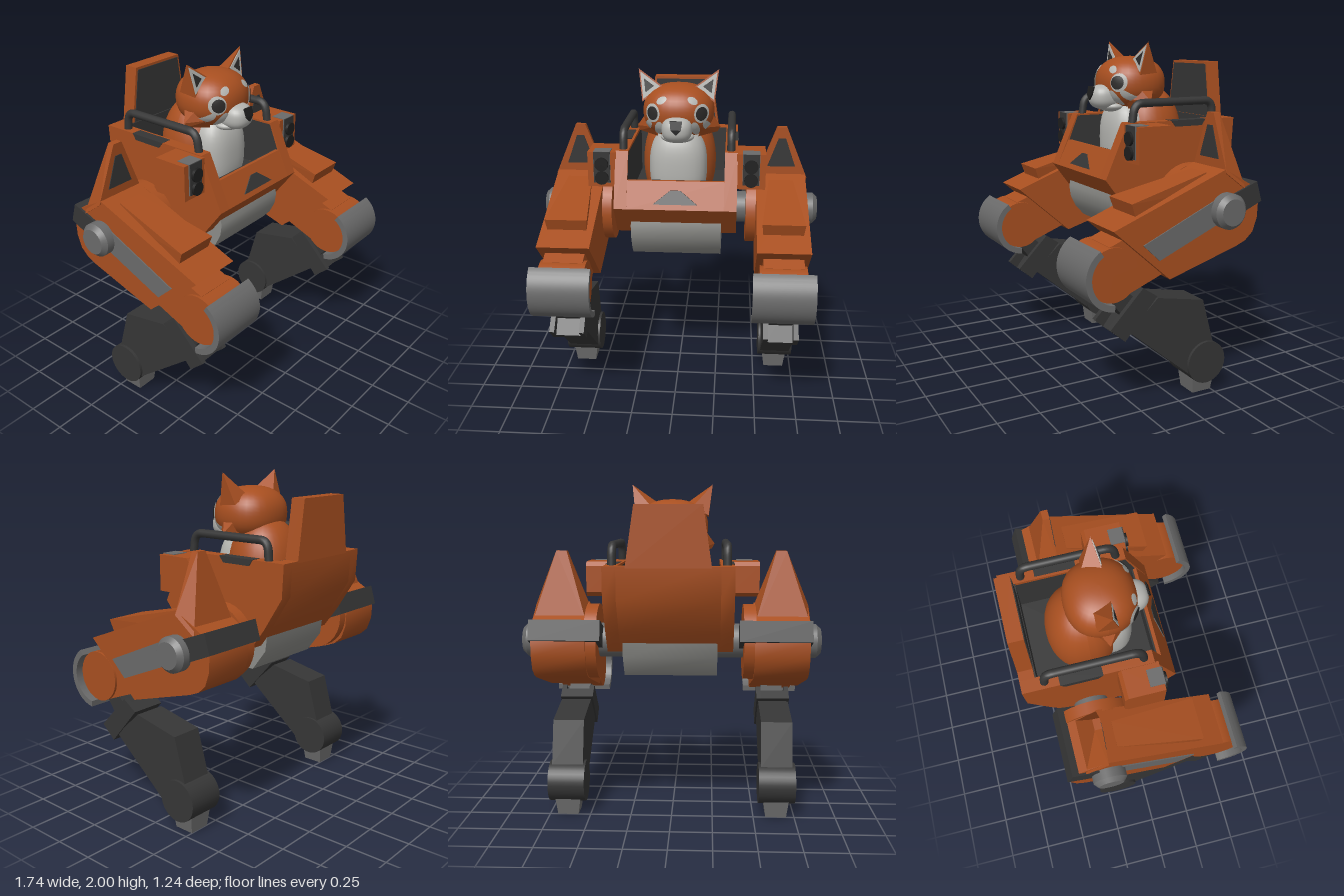
import * as THREE from 'three';
import { toCreasedNormals } from 'three/addons/utils/BufferGeometryUtils.js';
import { ConvexGeometry } from 'three/addons/geometries/ConvexGeometry.js';

const mat = (name, color, side = THREE.FrontSide) => {
  const m = new THREE.MeshStandardMaterial({ color, side });
  m.name = name;
  return m;
};

export function createModel() {
  const model = new THREE.Group();
  const orange = mat('orange', 0xa84f20), dark = mat('charcoal', 0x363636), black = mat('black', 0x1e1e1e);
  const steel = mat('steel', 0x6a6a6a), pale = mat('pale grey', 0x8c8c88);
  const white = mat('white fur', 0xb4b4b0, THREE.DoubleSide), eyeDark = mat('eye', 0x2c2a29, THREE.DoubleSide);

  const add = (parent, name, geo, material) => {
    const mesh = new THREE.Mesh(geo, material);
    mesh.name = name;
    parent.add(mesh);
    return mesh;
  };
  // side profile [z, y] extruded across x, on side s
  const profile = (parent, name, pts, x0, x1, material, s = 1) => {
    const shape = pts instanceof THREE.Shape ? pts : new THREE.Shape(pts.map(p => new THREE.Vector2(...p)));
    let geo = new THREE.ExtrudeGeometry(shape, { depth: x1 - x0, bevelEnabled: false, curveSegments: 20 });
    geo.rotateY(-Math.PI / 2);
    geo.translate(s > 0 ? x1 : -x0, 0, 0);
    return add(parent, name, toCreasedNormals(geo, 0.55), material);
  };
  // convex solid from corner points, on side s
  const hull = (parent, name, pts, material, s = 1) =>
    add(parent, name, new ConvexGeometry(pts.map(p => new THREE.Vector3(s * p[0], p[1], p[2]))), material);
  // thin convex plate
  const plate = (parent, name, pts, material, s = 1, t = 0.005) =>
    hull(parent, name, [...pts, ...pts.map(p => [p[0], p[1], p[2] + t])], material, s);
  // cylinder along x
  const drum = (parent, name, r, x0, x1, y, z, material, s = 1, r2 = r) => {
    const geo = new THREE.CylinderGeometry(s > 0 ? r : r2, s > 0 ? r2 : r, x1 - x0, 32);
    geo.rotateZ(Math.PI / 2);
    geo.translate(s * (x0 + x1) / 2, y, z);
    return add(parent, name, geo, material);
  };
  const box = (parent, name, x0, x1, y0, y1, z0, z1, material) => {
    const geo = new THREE.BoxGeometry(Math.abs(x1 - x0), y1 - y0, z1 - z0);
    geo.translate((x0 + x1) / 2, (y0 + y1) / 2, (z0 + z1) / 2);
    return add(parent, name, geo, material);
  };

  // cockpit tub
  const tub = new THREE.Group();
  tub.name = 'cockpit';
  model.add(tub);
  const under = [[0.26, 1.235], [0.12, 1.05], [-0.4, 1.05], [-0.49, 1.17], [-0.61, 1.36], [-0.62, 1.55]];
  for (const s of [1, -1]) {
    profile(tub, 'sideWall', [[0.12, 1.55], ...under], 0.285, 0.36, orange, s);
    plate(tub, 'innerSidePanel', [[0.279, 1.26, -0.53], [0.279, 1.54, -0.53], [0.284, 1.26, 0.15],
      [0.284, 1.39, 0.175], [0.284, 1.54, 0.115]], dark, s, 0.002);
  }
  profile(tub, 'hull', [[0.185, 1.39], ...under, [-0.535, 1.55], [-0.535, 1.25], [0.165, 1.25], [0.165, 1.39]],
    -0.285, 0.285, orange);
  box(tub, 'floor', -0.285, 0.285, 1.25, 1.258, -0.53, 0.16, dark);
  box(tub, 'innerFront', -0.285, 0.285, 1.25, 1.388, 0.155, 0.164, dark);
  box(tub, 'innerBack', -0.285, 0.285, 1.25, 1.548, -0.534, -0.526, dark);
  plate(tub, 'frontMark', [[-0.13, 1.265, 0.246], [0.13, 1.265, 0.246], [0.03, 1.34, 0.21], [-0.03, 1.34, 0.21]], dark);

  // seat back
  const back = h => [[-0.235, 1.54, h], [0.235, 1.54, h], [0.185, 1.88, h], [-0.185, 1.88, h]];
  hull(tub, 'seatBack', [...back(-0.535), ...back(-0.62)], orange);
  plate(tub, 'seatPad', [[-0.22, 1.55, -0.535], [0.22, 1.55, -0.535], [0.172, 1.865, -0.535], [-0.172, 1.865, -0.535]], dark);

  // rounded belly and axle
  profile(model, 'belly', [[0.17, 1.17], [0.19, 1.1], [0.18, 1.03], [0.145, 0.96], [0.09, 0.9], [-0.34, 0.9],
    [-0.43, 1.02], [-0.45, 1.17]], -0.27, 0.27, pale);
  drum(model, 'axle', 0.1, -0.5, 0.5, 1.095, -0.255, steel);

  for (const s of [1, -1]) {
    // hand rail and its base
    const rail = new THREE.CurvePath();
    const v = (y, z) => new THREE.Vector3(s * 0.32, y, z);
    rail.add(new THREE.LineCurve3(v(1.53, 0.07), v(1.6, 0.06)));
    rail.add(new THREE.QuadraticBezierCurve3(v(1.6, 0.06), v(1.657, 0.05), v(1.657, 0)));
    rail.add(new THREE.LineCurve3(v(1.657, 0), v(1.657, -0.43)));
    rail.add(new THREE.QuadraticBezierCurve3(v(1.657, -0.43), v(1.657, -0.48), v(1.6, -0.485)));
    rail.add(new THREE.LineCurve3(v(1.6, -0.485), v(1.53, -0.49)));
    add(tub, 'handRail', new THREE.TubeGeometry(rail, 50, 0.024, 12), dark);
    profile(tub, 'railPlate', [[-0.17, 1.552], [-0.41, 1.552], [-0.385, 1.515], [-0.2, 1.515]], 0.3, 0.365, dark, s);

    // twin lamps
    profile(tub, 'lampBox', [[0.14, 1.545], [0.14, 1.335], [-0.07, 1.335], [-0.09, 1.36], [-0.09, 1.52], [-0.07, 1.545]],
      0.355, 0.525, orange, s);
    box(tub, 'lampHousing', s * 0.39, s * 0.49, 1.36, 1.549, 0.06, 0.146, steel);
    box(tub, 'lampFace', s * 0.392, s * 0.488, 1.362, 1.547, 0.14, 0.151, dark);
    for (const y of [1.475, 1.393]) {
      const ring = new THREE.CylinderGeometry(0.04, 0.04, 0.03, 24);
      ring.rotateX(Math.PI / 2);
      ring.translate(s * 0.44, y, 0.152);
      add(tub, 'lampLens', ring, black);
    }
    buildLeg(s);
  }

  function buildLeg(s) {
    const leg = new THREE.Group();
    leg.name = s > 0 ? 'leftLeg' : 'rightLeg';
    model.add(leg);
    // hip and thigh
    drum(leg, 'hipDisc', 0.22, 0.42, 0.49, 1.09, -0.255, orange, s);
    profile(leg, 'thigh', [[0.445, 1.055], [-0.25, 1.32], [-0.36, 1.26], [-0.45, 1.21], [-0.482, 1.12], [-0.478, 1.03],
      [-0.45, 0.95], [-0.4, 0.905], [-0.34, 0.88], [0.1, 0.75]], 0.48, 0.79, orange, s);
    profile(leg, 'hipBand', [[-0.29, 1.175], [-0.46, 1.24], [-0.495, 1.125], [-0.34, 1.06]], 0.395, 0.803, dark, s);
    drum(leg, 'hub', 0.1, 0.78, 0.845, 1.095, -0.255, steel, s);
    drum(leg, 'hubCap', 0.1, 0.845, 0.872, 1.095, -0.255, steel, s, 0.075);
    profile(leg, 'sideStrip', [[0.27, 0.96], [-0.2, 1.165], [-0.2, 1.02], [0.17, 0.865]], 0.785, 0.797, steel, s);
    // raised wedge on the thigh
    hull(leg, 'thighWedge', [[0.51, 1.18, 0.32], [0.76, 1.18, 0.32], [0.52, 1.09, 0.29], [0.75, 1.09, 0.29],
      [0.56, 1.3, -0.18], [0.71, 1.3, -0.18], [0.56, 1.2, -0.18], [0.71, 1.2, -0.18]], orange, s);
    // shoulder spike
    hull(leg, 'shoulderSpike', [[0.48, 1.3, -0.25], [0.8, 1.3, -0.25], [0.48, 1.2, -0.385], [0.8, 1.2, -0.385],
      [0.605, 1.62, -0.25], [0.665, 1.62, -0.25], [0.605, 1.62, -0.29], [0.665, 1.62, -0.29]], orange, s);
    plate(leg, 'spikePanel', [[0.55, 1.37, -0.25], [0.725, 1.37, -0.25], [0.66, 1.55, -0.25], [0.615, 1.55, -0.25]], dark, s);
    // knee
    profile(leg, 'kneeBracket', [[0.45, 0.965], [0.36, 1.0], [0.1, 0.79], [0.13, 0.775], [0.4, 0.67]], 0.52, 0.755, orange, s);
    drum(leg, 'kneeDrum', 0.15, 0.5, 0.77, 0.815, 0.435, orange, s);
    const guard = new THREE.Shape();
    guard.absarc(0.435, 0.815, 0.183, -1.48, 1.0, false);
    guard.absarc(0.435, 0.815, 0.148, 1.0, -1.48, true);
    profile(leg, 'kneeGuard', guard, 0.46, 0.815, steel, s);
    // shin
    profile(leg, 'kneeLink', [[0.44, 0.68], [0.36, 0.73], [0.24, 0.62], [0.34, 0.55]], 0.57, 0.71, dark, s);
    const cheek = [[0.24, 0.71], [0.15, 0.65], [0.35, 0.425], [0.44, 0.505]];
    profile(leg, 'shinCheek', cheek, 0.535, 0.565, dark, s);
    profile(leg, 'shinCheek', cheek, 0.715, 0.745, dark, s);
    profile(leg, 'shinBlock', [[0.21, 0.69], [0.15, 0.65], [0.35, 0.425], [0.39, 0.46]], 0.56, 0.72, dark, s);
    profile(leg, 'shin', [[0.14, 0.635], [-0.16, 0.575], [-0.235, 0.31], [-0.19, 0.2], [-0.09, 0.13], [0.32, 0.47]],
      0.545, 0.735, dark, s);
    drum(leg, 'ankle', 0.125, 0.53, 0.752, 0.198, -0.185, dark, s);
    // foot
    const sole = (y, w, d) => [[-1, -1], [1, -1], [1, 1], [-1, 1]].map(([a, b]) => [0.638 + a * w, y, -0.188 + b * d]);
    hull(leg, 'foot', [...sole(0, 0.063, 0.062), ...sole(0.12, 0.08, 0.074)], steel, s);
  }

  // pilot
  const pilot = new THREE.Group();
  pilot.name = 'pilot';
  model.add(pilot);
  const ball = (name, c, r, material, n = 2) => {
    const geo = new THREE.SphereGeometry(1, 32, 24), p = geo.attributes.position, d = new THREE.Vector3();
    for (let i = 0; i < p.count; i++) {
      d.fromBufferAttribute(p, i);
      const k = (Math.abs(d.x) ** n + Math.abs(d.y) ** n + Math.abs(d.z) ** n) ** (-1 / n);
      p.setXYZ(i, c[0] + d.x * k * r[0], c[1] + d.y * k * r[1], c[2] + d.z * k * r[2]);
    }
    geo.computeVertexNormals();
    return add(pilot, name, geo, material);
  };
  const C = [0, 1.755, -0.1], R = [0.213, 0.16, 0.2], N = 2.3;
  ball('head', C, R, orange, N);
  ball('torso', [0, 1.42, -0.21], [0.225, 0.32, 0.21], orange, 2.2);
  ball('chest', [0, 1.42, -0.07], [0.175, 0.24, 0.14], white, 2.6);
  ball('muzzle', [0, 1.675, 0.07], [0.09, 0.075, 0.1], white, 2.5);
  ball('chin', [0, 1.62, 0.03], [0.1, 0.035, 0.08], white);
  plate(pilot, 'nose', [[-0.036, 1.74, 0.158], [0.036, 1.74, 0.158], [0.03, 1.69, 0.171], [-0.03, 1.69, 0.171],
    [0, 1.66, 0.172]], black, 1, 0.009);

  // oval marking laid on the head surface
  const patch = (name, cx, cy, rx, ry, turn, lift, material) => {
    const geo = new THREE.RingGeometry(0.001, 1, 20, 4), p = geo.attributes.position;
    const cs = Math.cos(turn), sn = Math.sin(turn);
    for (let i = 0; i < p.count; i++) {
      const a = p.getX(i) * rx, b = p.getY(i) * ry;
      const x = cx + a * cs - b * sn, y = cy + a * sn + b * cs;
      const q = 1 - Math.abs((x - C[0]) / R[0]) ** N - Math.abs((y - C[1]) / R[1]) ** N;
      p.setXYZ(i, x * (1 + lift), y, C[2] + R[2] * Math.max(q, 0) ** (1 / N) + lift);
    }
    geo.computeVertexNormals();
    add(pilot, name, geo, material);
  };
  for (const s of [1, -1]) {
    patch('brow', s * 0.09, 1.84, 0.032, 0.018, s * -0.5, 0.006, white);
    patch('eyePatch', s * 0.142, 1.765, 0.042, 0.055, 0, 0.006, white);
    patch('eye', s * 0.142, 1.765, 0.032, 0.04, 0, 0.012, eyeDark);
    patch('innerCheek', s * 0.107, 1.675, 0.025, 0.045, s * 0.2, 0.006, white);
    patch('outerCheek', s * 0.172, 1.685, 0.02, 0.04, s * 0.35, 0.006, white);
    // cheek tuft
    hull(pilot, 'cheekTuft', [[0.19, 1.74, -0.05], [0.19, 1.74, -0.15], [0.252, 1.655, -0.1], [0.235, 1.625, -0.1],
      [0.12, 1.61, -0.02], [0.12, 1.61, -0.18], [0.15, 1.67, 0.01]], orange, s);
    // ear with pale lining
    const front = [[0.095, 1.9, -0.06], [0.215, 1.81, -0.045], [0.238, 2.0, -0.085]];
    hull(pilot, 'ear', [...front, [0.12, 1.87, -0.17], [0.215, 1.82, -0.16]], orange, s);
    const mid = [0, 1, 2].map(k => (front[0][k] + front[1][k] + front[2][k]) / 3);
    const inset = f => front.map(p => p.map((c, k) => mid[k] + (c - mid[k]) * f));
    plate(pilot, 'earLining', inset(0.82), white, s, 0.004);
    plate(pilot, 'earCentre', inset(0.42), eyeDark, s, 0.007);
  }
  return model;
}
